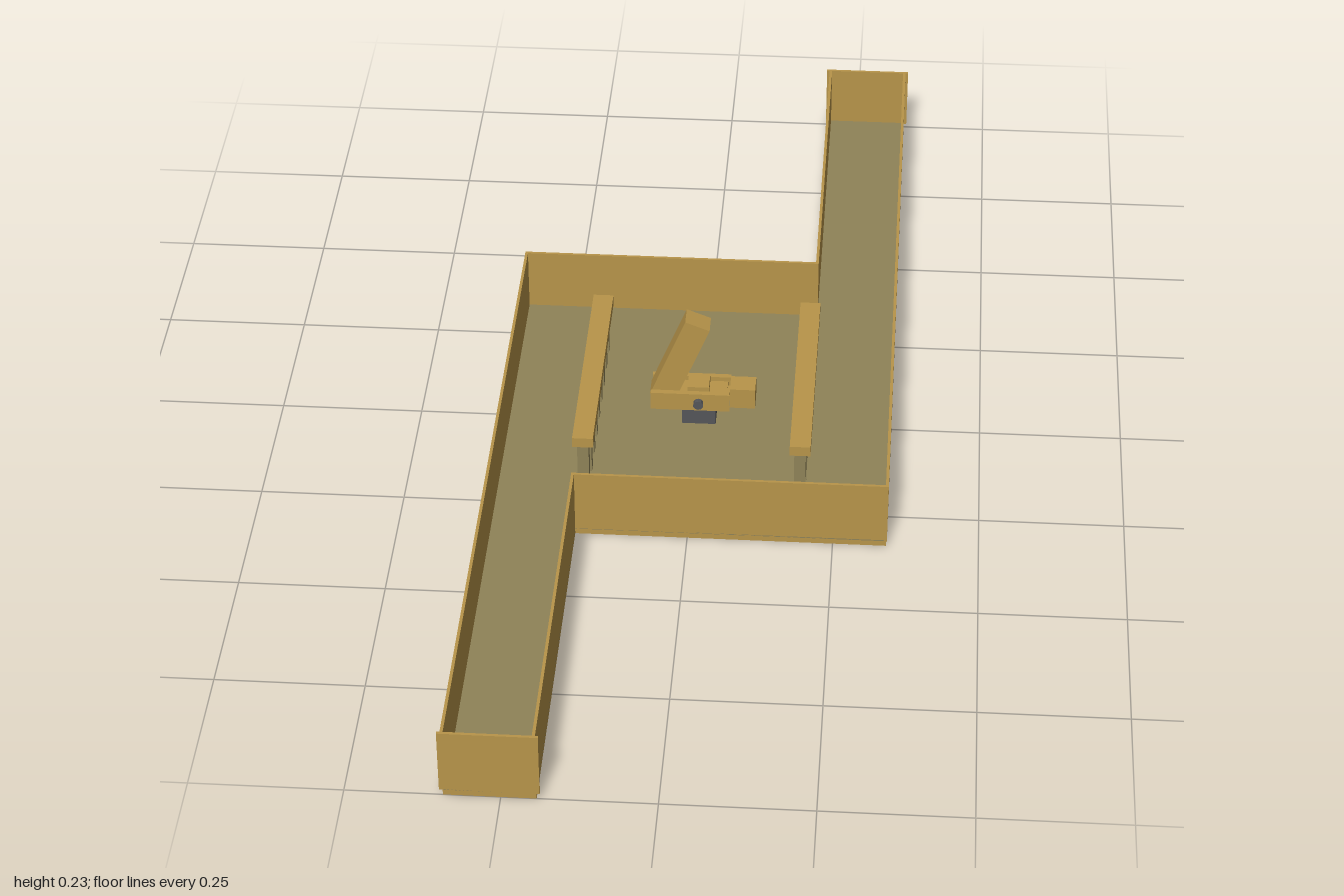
import * as THREE from 'three';

const wood = new THREE.MeshStandardMaterial({ color: 0xb8954a, flatShading: true });
const floorMat = new THREE.MeshStandardMaterial({ color: 0x8f8358, flatShading: true });
const metal = new THREE.MeshStandardMaterial({ color: 0x55565a, flatShading: true });

// Box given by its minimum and maximum corners
function box(parent, name, [x0, x1], [y0, y1], [z0, z1], mat = wood) {
  const m = new THREE.Mesh(new THREE.BoxGeometry(x1 - x0, y1 - y0, z1 - z0), mat);
  m.position.set((x0 + x1) / 2, (y0 + y1) / 2, (z0 + z1) / 2);
  m.name = name;
  parent.add(m);
  return m;
}

// Flat slab in the Z-shaped plan: square room with two opposite corridors
function slab(parent, name, y0, y1, mat) {
  const plan = [[-0.342, 0.33], [0.193, 0.33], [0.193, 1], [0.342, 1], [0.342, -0.33], [-0.193, -0.33], [-0.193, -1], [-0.342, -1]];
  const shape = new THREE.Shape(plan.map(([x, y]) => new THREE.Vector2(x, y)));
  const g = new THREE.ExtrudeGeometry(shape, { depth: y1 - y0, bevelEnabled: false });
  g.rotateX(-Math.PI / 2).translate(0, y0, 0);
  const m = new THREE.Mesh(g, mat);
  m.name = name;
  parent.add(m);
}

export function createModel() {
  const model = new THREE.Group();
  model.name = 'walledPlatform';

  // Floor with a paler top layer
  slab(model, 'floorBase', 0, 0.01, wood);
  slab(model, 'floorTop', 0.01, 0.012, floorMat);

  // Walls: one half, repeated with a half turn about the vertical
  const H = [0.01, 0.128], t = 0.005;
  for (const turn of [0, Math.PI]) {
    const half = new THREE.Group();
    half.name = turn ? 'backWalls' : 'frontWalls';
    half.rotation.y = turn;
    box(half, 'outerWall', [-0.343, -0.343 + t], H, [-0.33, 0.995]);
    box(half, 'corridorWall', [-0.193 - t, -0.193], H, [0.33, 0.995]);
    box(half, 'roomWall', [-0.193 - t, 0.342], H, [0.33 - t, 0.33]);
    box(half, 'endWall', [-0.348, -0.188], H, [0.995, 1]);
    model.add(half);
  }

  // Railings with balusters on both sides of the room
  for (const side of [-1, 1]) {
    const rail = new THREE.Group();
    rail.name = side < 0 ? 'rightRailing' : 'leftRailing';
    rail.position.x = side * 0.188;
    box(rail, 'handrail', [-0.018, 0.018], [0.106, 0.125], [-0.205, 0.225]);
    const n = 9;
    for (let i = 0; i < n; i++) {
      const z = -0.192 + (i * 0.404) / (n - 1);
      box(rail, 'baluster', [-0.01, 0.01], [0.012, 0.106], [z - 0.009, z + 0.009], floorMat);
    }
    model.add(rail);
  }

  // Central stand with a tilted lever
  const stand = new THREE.Group();
  stand.name = 'leverStand';
  box(stand, 'pedestal', [-0.03, 0.03], [0.012, 0.055], [-0.02, 0.02], metal);
  box(stand, 'beam', [-0.085, 0.05], [0.055, 0.078], [-0.02, 0.02]);
  box(stand, 'endBlock', [0.055, 0.1], [0.05, 0.09], [-0.02, 0.02]);
  box(stand, 'endLink', [0.045, 0.06], [0.058, 0.076], [-0.01, 0.01]);
  box(stand, 'middleBlock', [-0.02, 0.018], [0.07, 0.092], [-0.02, 0.02]);
  for (const s of [-1, 1]) {
    box(stand, 'cheekPlate', [-0.085, 0.055], [0.05, 0.085], s < 0 ? [-0.032, -0.022] : [0.022, 0.032]);
  }
  const axle = new THREE.Mesh(new THREE.CylinderGeometry(0.009, 0.009, 0.082, 10), metal);
  axle.name = 'axle';
  axle.rotation.x = Math.PI / 2;
  axle.position.y = 0.067;
  stand.add(axle);
  const lever = box(stand, 'lever', [-0.023, 0.023], [-0.085, 0.085], [-0.02, 0.02]);
  lever.position.set(-0.034, 0.145, 0);
  lever.rotation.z = -0.38;
  model.add(stand);

  return model;
}
